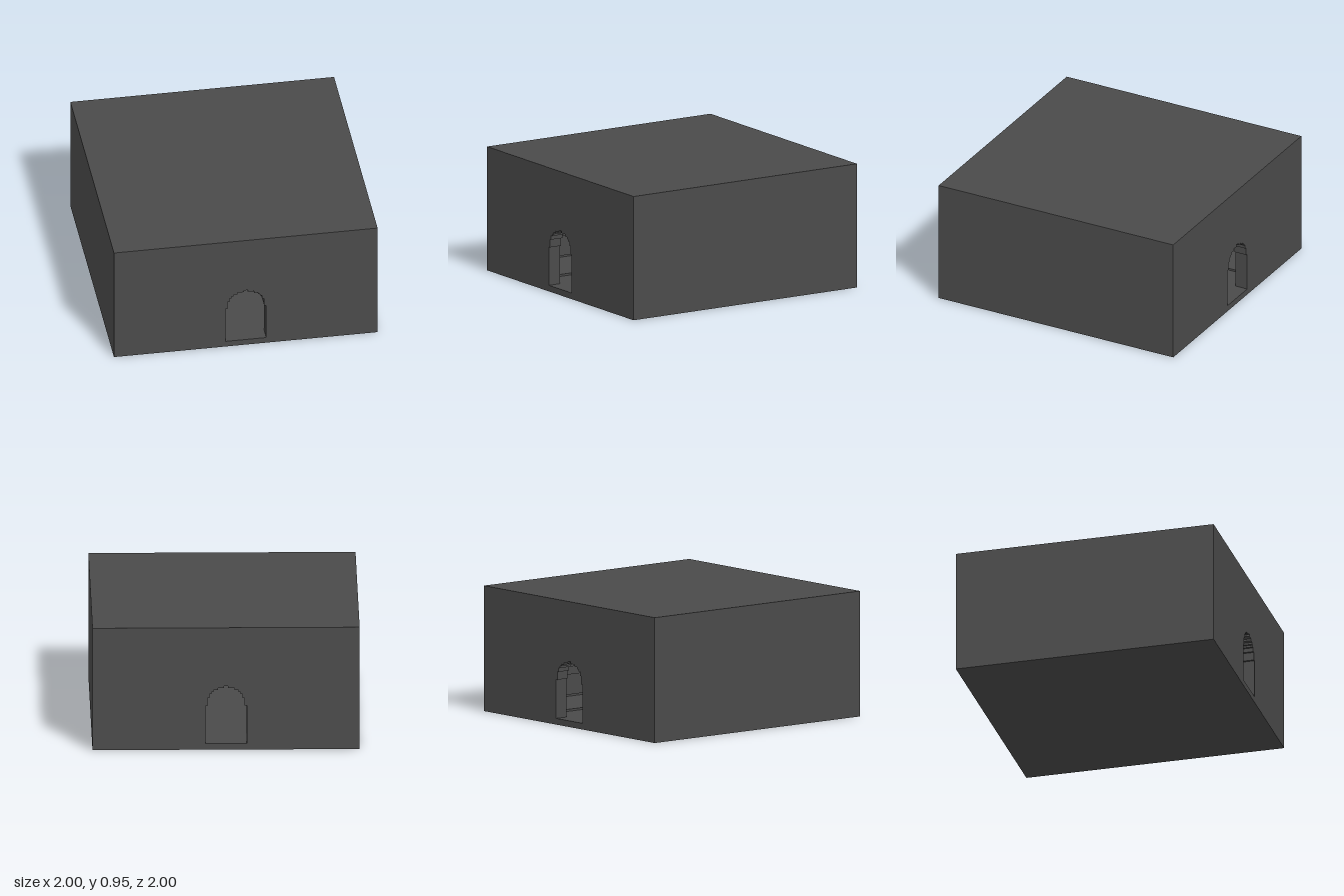
import * as THREE from 'three';

const V = 0.0155;            // step size
const H = 0.95;              // building height
const T = 0.1;               // end wall thickness
const FLOOR = 3 * V;

const stone = new THREE.MeshStandardMaterial({ color: 0x4a4a4a });
stone.name = 'darkStone';

// Counter-clockwise outline of a stepped round arch, starting from the base points on the +x side
function steppedArch(base, radius, spring) {
  const right = base.map(([x, y]) => new THREE.Vector2(x, y));
  for (let k = 0; k <= radius; k++) {
    const half = Math.max(1, Math.floor(Math.sqrt(radius * radius - k * k))) * V;
    const last = right[right.length - 1];
    const y0 = (spring + k) * V;
    if (last.x === half) {
      last.y = y0 + V;
    } else {
      if (k > 0 || last.y !== y0) right.push(new THREE.Vector2(half, y0));
      else right.push(new THREE.Vector2(half, last.y));
      right.push(new THREE.Vector2(half, y0 + V));
    }
  }
  const left = right.map(p => new THREE.Vector2(-p.x, p.y)).reverse();
  return [...right, ...left];
}

// Walls swept along z from a closed outline
function sweep(points, z0, z1, inward) {
  const pts = inward ? [...points].reverse() : points;
  const pos = [];
  pts.forEach((a, i) => {
    const b = pts[(i + 1) % pts.length];
    pos.push(a.x, a.y, z0, b.x, b.y, z0, b.x, b.y, z1);
    pos.push(a.x, a.y, z0, b.x, b.y, z1, a.x, a.y, z1);
  });
  const g = new THREE.BufferGeometry();
  g.setAttribute('position', new THREE.Float32BufferAttribute(pos, 3));
  g.computeVertexNormals();
  return g;
}

// Flat wall with a doorway, facing +z or -z
function wallFace(outline, hole, z, facing) {
  const shape = new THREE.Shape(outline);
  shape.holes.push(new THREE.Path(hole));
  const g = new THREE.ShapeGeometry(shape);
  if (facing < 0) g.rotateY(Math.PI);
  return g.translate(0, 0, z);
}

export function createModel() {
  const model = new THREE.Group();
  model.name = 'vaultedHall';
  const add = (name, geometry) => {
    const mesh = new THREE.Mesh(geometry, stone);
    mesh.name = name;
    model.add(mesh);
  };

  const block = [[1, 0], [1, H], [-1, H], [-1, 0]].map(([x, y]) => new THREE.Vector2(x, y));
  const door = steppedArch([[10 * V, FLOOR], [10 * V, 22 * V]], 10, 21);
  // Room section: sunken aisle, low side platforms and a stepped barrel vault
  const room = steppedArch([[23 * V, FLOOR], [23 * V, 4 * V], [54 * V, 4 * V], [54 * V, 5 * V]], 54, 4);

  // Outer block
  add('outerWalls', sweep(block, -1, 1, false));
  // Room
  add('vaultAndFloor', sweep(room, T - 1, 1 - T, true));

  // Doorways at both ends
  for (const [side, s] of [['front', 1], ['back', -1]]) {
    add(side + 'Wall', wallFace(block, door, s, s));
    add(side + 'InnerWall', wallFace(room, door, s * (1 - T), -s));
    add(side + 'Doorway', sweep(door, s > 0 ? 1 - T : -1, s > 0 ? 1 : T - 1, true));
  }
  return model;
}
